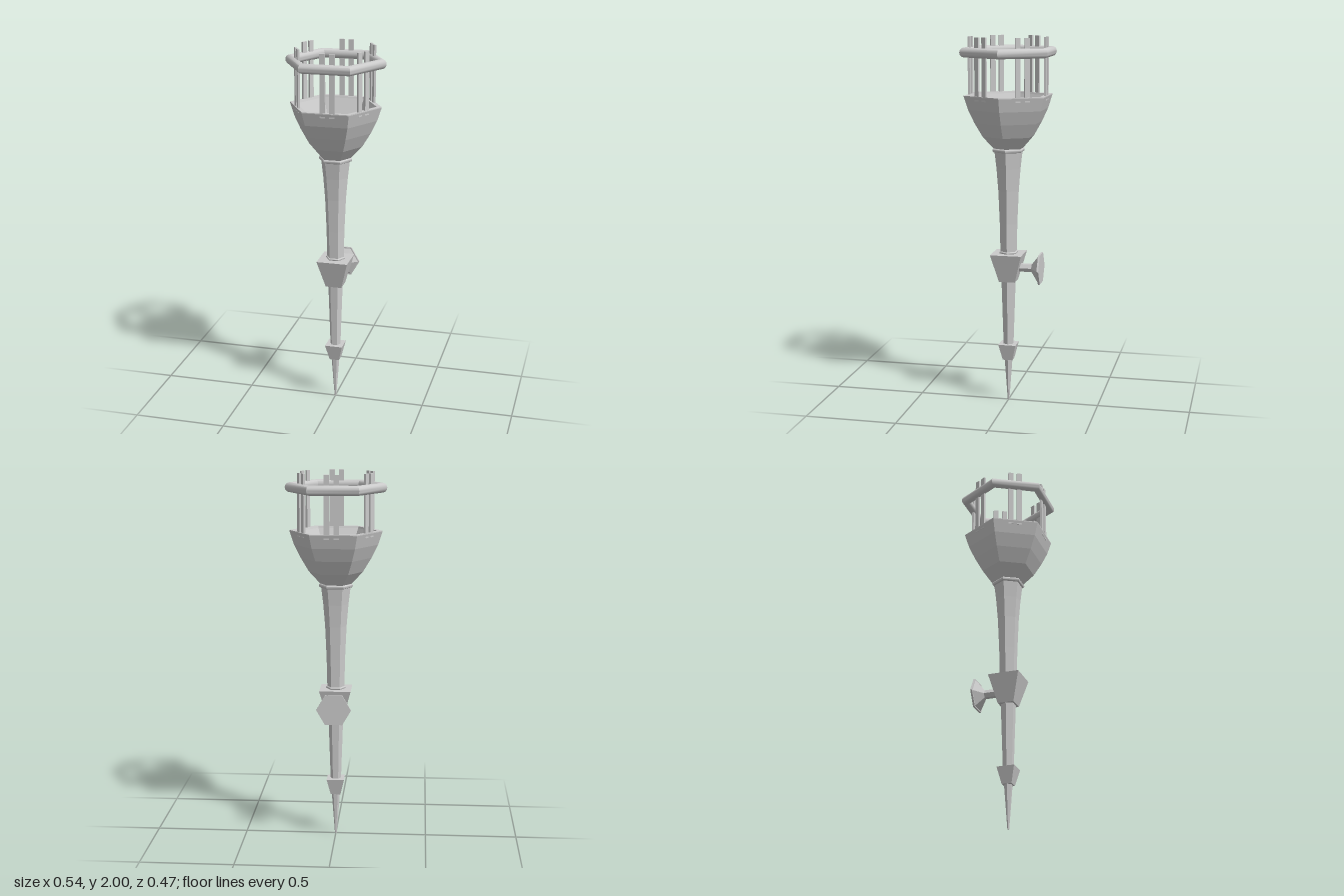
import * as THREE from 'three';
import { toCreasedNormals } from 'three/addons/utils/BufferGeometryUtils.js';

const flat = new THREE.MeshStandardMaterial({ color: 0xcccccc, flatShading: true });
const smooth = new THREE.MeshStandardMaterial({ color: 0xcccccc });

export function createModel() {
  const model = new THREE.Group();

  const add = (name, geometry, material = flat) => {
    const mesh = new THREE.Mesh(geometry, material);
    mesh.name = name;
    model.add(mesh);
    return mesh;
  };

  // Six-sided turned part with corners on the x axis; profile is [radius, y] from the bottom up
  const hexTurned = (name, profile) => {
    const points = profile.map(([r, y]) => new THREE.Vector2(r, y));
    return add(name, new THREE.LatheGeometry(points, 6).rotateY(Math.PI / 2));
  };

  // Square block tapering downwards, given by half widths
  const squareBlock = (name, top, bottom, y0, y1) => {
    const g = new THREE.CylinderGeometry(top * Math.SQRT2, bottom * Math.SQRT2, y1 - y0, 4);
    return add(name, g.rotateY(Math.PI / 4).translate(0, (y0 + y1) / 2, 0));
  };

  // Six-sided hoop with a round tube
  const hexHoop = (name, radius, tube, y) => {
    const g = new THREE.TorusGeometry(radius, tube, 16, 6).rotateX(Math.PI / 2);
    return add(name, toCreasedNormals(g.translate(0, y, 0), 0.7), smooth);
  };

  // Handle, from the tip up
  hexTurned('spike', [[0, 0], [0.005, 0], [0.023, 0.24], [0, 0.24]]);
  squareBlock('lowerBlock', 0.048, 0.027, 0.235, 0.325);
  hexTurned('lowerShaft', [[0, 0.3], [0.028, 0.3], [0.041, 0.69], [0, 0.69]]);
  squareBlock('middleBlock', 0.085, 0.044, 0.68, 0.835);
  hexHoop('shaftCollar', 0.046, 0.007, 0.84);
  hexTurned('upperShaft', [[0, 0.82], [0.046, 0.82], [0.05, 1.0], [0.058, 1.18], [0.068, 1.3], [0.08, 1.4], [0, 1.4]]);
  hexHoop('bowlCollar', 0.08, 0.011, 1.4);

  // Hollow bowl: outside, rim, then inside down to the floor
  hexTurned('bowl', [
    [0, 1.405], [0.08, 1.405], [0.145, 1.475], [0.19, 1.55], [0.224, 1.62], [0.247, 1.69],
    [0.247, 1.695], [0.22, 1.695], [0.216, 1.685], [0.165, 1.59], [0.087, 1.49], [0.043, 1.45], [0, 1.45],
  ]);

  // Upright slats in pairs, one pair per side of the bowl
  const pairs = [
    [0, [-0.016, 0.034]], [60, [-0.016, 0.035]], [120, [-0.035, 0.016]],
    [180, [-0.034, 0.016]], [240, [-0.024, 0.024]], [300, [-0.024, 0.024]],
  ];
  for (const [degrees, offsets] of pairs) {
    // at 60 degrees the local x axis runs away from the +x corner, so flip the offsets there
    const sign = degrees === 60 || degrees === 120 ? -1 : 1;
    for (const offset of offsets) {
      const g = new THREE.BoxGeometry(0.028, 0.33, 0.011).translate(sign * offset, 1.835, 0.205);
      add('slat', g.rotateY(THREE.MathUtils.degToRad(degrees)));
    }
  }
  hexHoop('topRing', 0.244, 0.026, 1.92);

  // Wall mount at the back: arm, flare and six-sided plate
  const mount = new THREE.Group();
  mount.name = 'wallMount';
  mount.position.y = 0.757;
  mount.rotation.x = -Math.PI / 2;
  const mountPart = (name, rTop, rBottom, from, to) => {
    const g = new THREE.CylinderGeometry(rTop, rBottom, to - from, 6).rotateY(Math.PI / 6);
    mount.add(add(name, g.translate(0, (from + to) / 2, 0)));
  };
  mountPart('mountArm', 0.024, 0.024, 0.03, 0.14);
  mountPart('mountFlare', 0.088, 0.024, 0.13, 0.174);
  mountPart('mountPlate', 0.093, 0.093, 0.172, 0.182);
  model.add(mount);

  return model;
}
